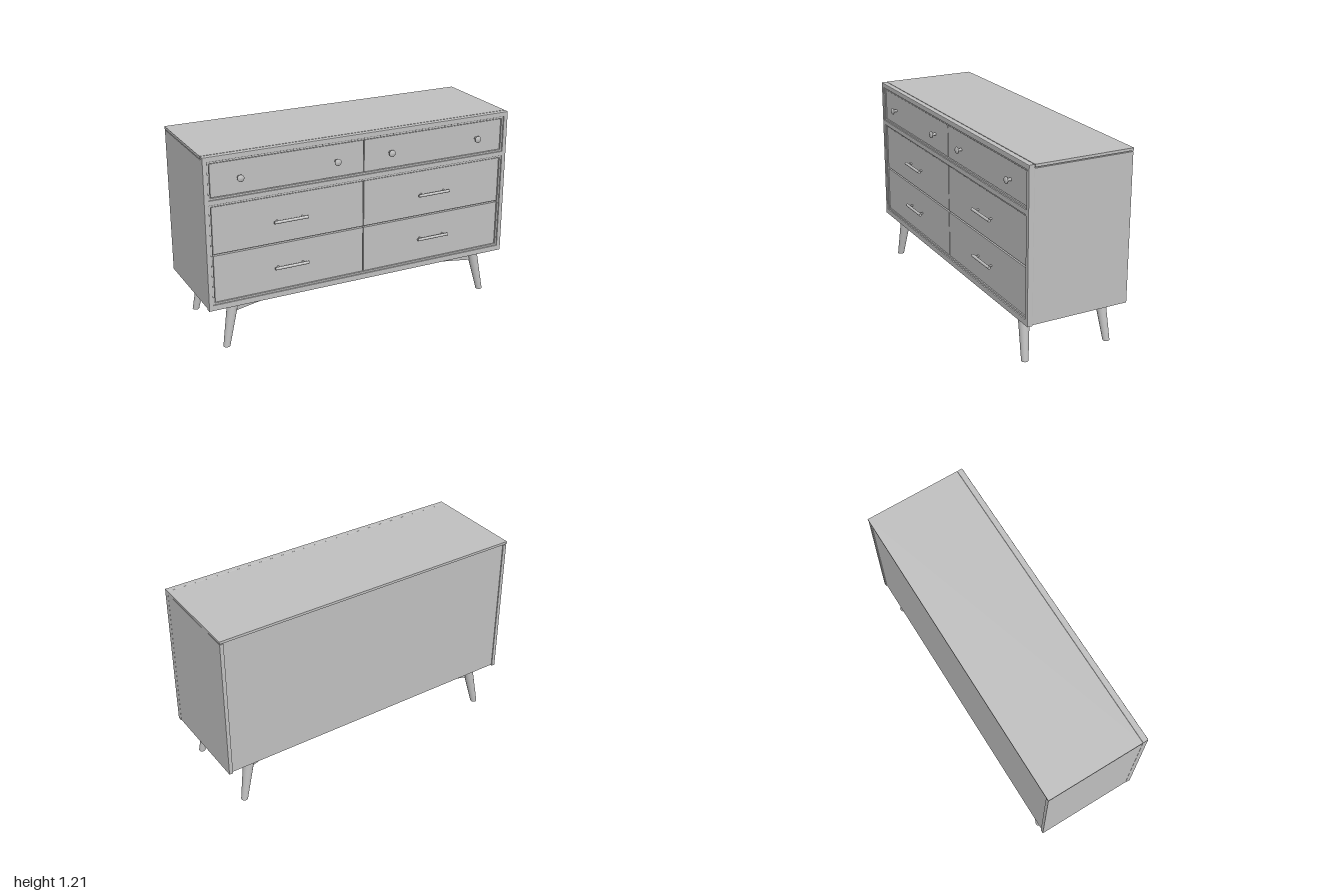
import * as THREE from 'three';

export function createModel() {
  const model = new THREE.Group();
  const paint = new THREE.MeshStandardMaterial({ color: 0xbfbfbf });
  paint.name = 'plain grey';

  function add(name, geometry, x = 0, y = 0, z = 0) {
    const mesh = new THREE.Mesh(geometry, paint);
    mesh.name = name;
    mesh.position.set(x, y, z);
    model.add(mesh);
    return mesh;
  }
  // box given by its limits
  function block(name, x0, x1, y0, y1, z0, z1) {
    return add(name, new THREE.BoxGeometry(x1 - x0, y1 - y0, z1 - z0),
      (x0 + x1) / 2, (y0 + y1) / 2, (z0 + z1) / 2);
  }
  // tapered round bar between two points
  function bar(name, from, to, r0, r1, sides = 24) {
    const a = new THREE.Vector3(...from), b = new THREE.Vector3(...to);
    const dir = b.clone().sub(a);
    const mesh = add(name, new THREE.CylinderGeometry(r1, r0, dir.length(), sides));
    mesh.position.copy(a).add(b).multiplyScalar(0.5);
    mesh.quaternion.setFromUnitVectors(new THREE.Vector3(0, 1, 0), dir.normalize());
    return mesh;
  }
  function rect(target, x0, x1, y0, y1) {
    target.moveTo(x0, y0);
    target.lineTo(x1, y0);
    target.lineTo(x1, y1);
    target.lineTo(x0, y1);
    target.closePath();
    return target;
  }
  // flat frame with rectangular openings
  function frame(name, outer, holes, z0, z1, bevel) {
    const [x0, x1, y0, y1] = outer;
    const shape = rect(new THREE.Shape(), x0 + bevel, x1 - bevel, y0 + bevel, y1 - bevel);
    for (const [a, b, c, d] of holes) {
      shape.holes.push(rect(new THREE.Path(), a - bevel, b + bevel, c - bevel, d + bevel));
    }
    return add(name, new THREE.ExtrudeGeometry(shape, {
      depth: z1 - z0 - 2 * bevel, bevelEnabled: true, bevelThickness: bevel,
      bevelSize: bevel, bevelSegments: 2,
    }), 0, 0, z0 + bevel);
  }

  // cabinet body: sides, floor, back and top with a shadow groove beneath it
  for (const s of [-1, 1]) {
    block('sidePanel', Math.min(s * 0.975, s * 0.998), Math.max(s * 0.975, s * 0.998), 0.278, 1.184, -0.338, 0.28);
  }
  block('cabinetCore', -0.985, 0.985, 0.284, 1.192, -0.332, 0.283);
  block('topPanel', -1, 1, 1.19, 1.206, -0.34, 0.278);

  // front frame with one wide opening per row group
  const openings = [[-0.972, 0.972, 0.95, 1.175], [-0.972, 0.972, 0.308, 0.92]];
  frame('frontFrame', [-1, 1, 0.273, 1.206], openings, 0.279, 0.315, 0.004);
  for (const [x0, x1, y0, y1] of openings) {
    frame('innerLip', [x0 - 0.002, x1 + 0.002, y0 - 0.002, y1 + 0.002],
      [[x0 + 0.011, x1 - 0.011, y0 + 0.011, y1 - 0.011]], 0.28, 0.307, 0.002);
  }

  // six drawer fronts
  const rows = [[0.964, 1.161], [0.619, 0.906], [0.322, 0.609]];
  for (const [y0, y1] of rows) {
    block('drawerFront', -0.957, -0.003, y0, y1, 0.28, 0.302);
    block('drawerFront', 0.003, 0.957, y0, y1, 0.28, 0.302);
  }

  // turned knobs on the upper drawers
  const knobProfile = [[0, 0], [0.010, 0], [0.008, 0.012], [0.011, 0.018], [0.021, 0.027],
    [0.021, 0.031], [0.016, 0.036], [0, 0.038]].map(([r, h]) => new THREE.Vector2(r, h));
  for (const x of [-0.785, -0.182, 0.176, 0.778]) {
    const knob = add('knob', new THREE.LatheGeometry(knobProfile, 24), x, 1.06, 0.301);
    knob.rotation.x = Math.PI / 2;
  }

  // bar pulls on the lower drawers
  for (const x of [-0.482, 0.476]) {
    for (const y of [0.757, 0.467]) {
      bar('pullBar', [x - 0.107, y, 0.33], [x + 0.107, y, 0.33], 0.009, 0.009, 16);
      for (const s of [-1, 1]) {
        bar('pullPost', [x + s * 0.08, y, 0.3], [x + s * 0.08, y, 0.33], 0.006, 0.006, 12);
      }
    }
  }

  // splayed tapered legs
  for (const sx of [-1, 1]) {
    for (const sz of [-1, 1]) {
      const leg = bar('leg', [sx * 0.885, 0.002, -0.012 + sz * 0.274],
        [sx * 0.826, 0.284, -0.012 + sz * 0.252], 0.021, 0.035);
      // cut the foot level with the floor and the head under the cabinet
      leg.updateMatrix();
      const inverse = leg.matrix.clone().invert();
      const p = leg.geometry.attributes.position;
      const v = new THREE.Vector3();
      for (let i = 0; i < p.count; i++) {
        const head = p.getY(i) > 0;
        v.fromBufferAttribute(p, i).applyMatrix4(leg.matrix);
        v.y = head ? 0.284 : 0;
        v.applyMatrix4(inverse);
        p.setXYZ(i, v.x, v.y, v.z);
      }
    }
  }

  // crossed braces between opposite legs
  const spanX = 1.65, spanZ = 0.5;
  for (const s of [-1, 1]) {
    const brace = add('crossBrace', new THREE.BoxGeometry(Math.hypot(spanX, spanZ), 0.072, 0.03), 0, 0.248, -0.012);
    brace.rotation.y = s * Math.atan2(spanZ, spanX);
  }
  return model;
}
